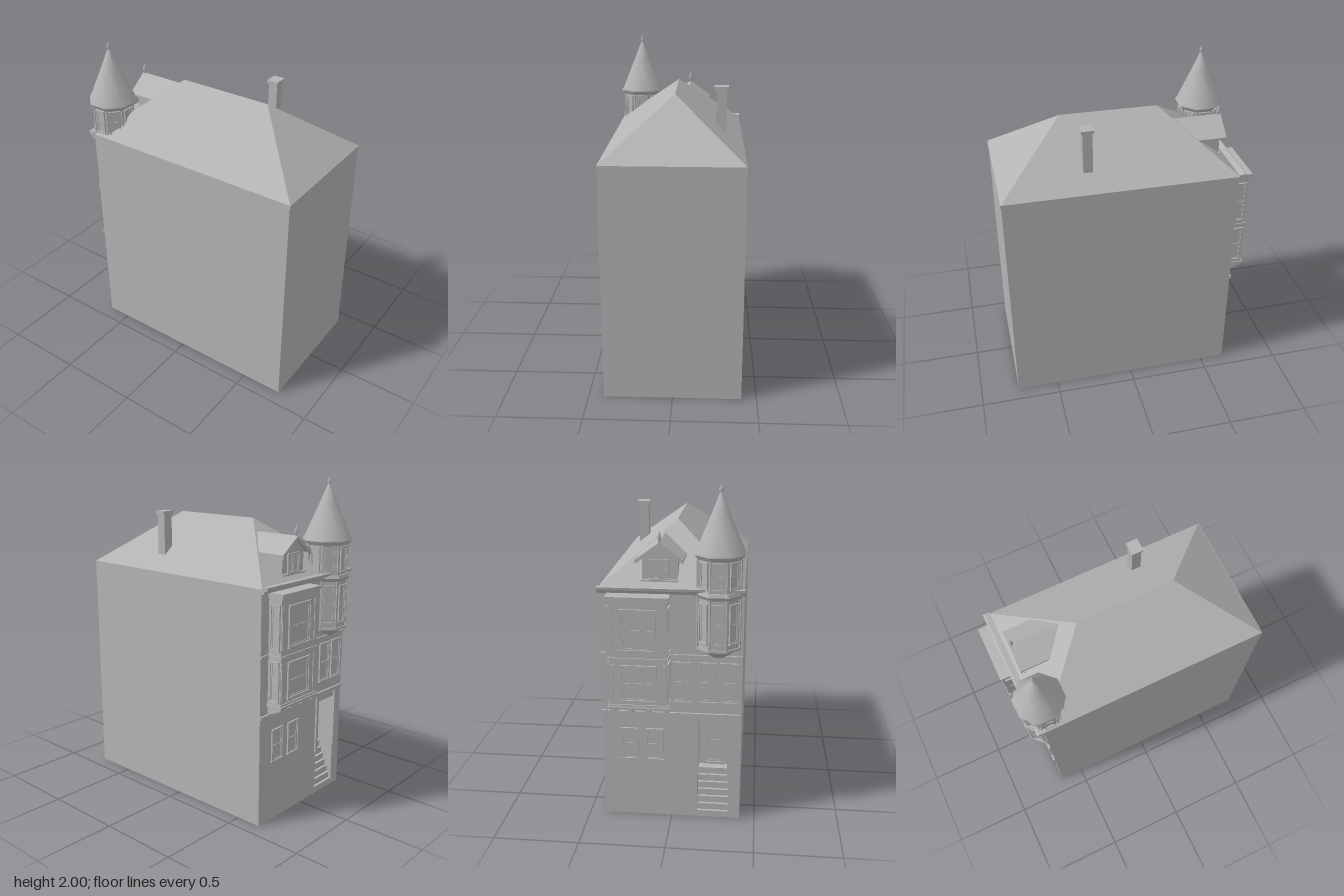
import * as THREE from 'three';

export function createModel() {
  const model = new THREE.Group();
  const grey = new THREE.MeshStandardMaterial({ color: 0xb4b4b4, side: THREE.DoubleSide });
  grey.name = 'plain grey';

  const add = (name, geometry, parent = model) => {
    const mesh = new THREE.Mesh(geometry, grey);
    mesh.name = name;
    parent.add(mesh);
    return mesh;
  };
  // Box given by its minimum and maximum corners
  const block = (name, x0, x1, y0, y1, z0, z1, parent) => {
    const mesh = add(name, new THREE.BoxGeometry(x1 - x0, y1 - y0, z1 - z0), parent);
    mesh.position.set((x0 + x1) / 2, (y0 + y1) / 2, (z0 + z1) / 2);
    return mesh;
  };
  const flat = (geometry) => {
    const g = geometry.toNonIndexed();
    g.computeVertexNormals();
    return g;
  };
  const shape = (points) => new THREE.Shape(points.map(([x, y]) => new THREE.Vector2(x, y)));
  const lathe = (points, sides, phi = 0) =>
    new THREE.LatheGeometry(points.map(([r, y]) => new THREE.Vector2(r, y)), sides, phi);

  // Sash window: outer casing, inner sashes, meeting rail and sill, facing local +z
  const sashWindow = (name, w, h, x, y, z, turn = Math.PI, t = 0.01) => {
    const g = new THREE.Group();
    g.name = name;
    const W = w / 2, H = h / 2, s = t * 0.6;
    for (const side of [-1, 1]) {
      const a = side * W, b = side * (W - t), c = side * (W - t * 1.9);
      block('casing', Math.min(a, b), Math.max(a, b), -H, H, -0.008, 0.01, g);
      block('sashStile', Math.min(b, c), Math.max(b, c), -H + t, H - t, -0.008, 0.005, g);
    }
    block('head', -W, W, H - t, H, -0.008, 0.011, g);
    block('sill', -W - 0.003, W + 0.003, -H, -H + t, -0.008, 0.013, g);
    block('meetingRail', -W + t, W - t, -s / 2, s / 2, -0.008, 0.006, g);
    block('topRail', -W + t, W - t, H - t - s, H - t, -0.008, 0.005, g);
    block('bottomRail', -W + t, W - t, -H + t, -H + t + s, -0.008, 0.005, g);
    block('pane', -W + t, W - t, -H + t, H - t, -0.004, 0.001, g);
    g.position.set(x, y, z);
    g.rotation.y = turn;
    model.add(g);
  };

  const X = 0.41, BACK = -0.655, FRONT = 0.76, EAVE = 1.425;

  // Plain walls, open underneath
  const depth = FRONT - BACK, midZ = (FRONT + BACK) / 2;
  add('frontWall', new THREE.PlaneGeometry(2 * X, EAVE)).position.set(0, EAVE / 2, FRONT);
  for (const side of [-1, 1]) {
    const wall = add('sideWall', new THREE.PlaneGeometry(depth, EAVE));
    wall.position.set(side * X, EAVE / 2, midZ);
    wall.rotation.y = side * Math.PI / 2;
  }

  // Street wall with the entrance cut out (drawn mirrored, then turned round)
  const D0 = -0.34, D1 = -0.155, DOOR_TOP = 0.62, INNER = BACK + 0.15;
  const street = add('streetWall', new THREE.ShapeGeometry(shape([
    [-X, 0], [-D1, 0], [-D1, DOOR_TOP], [-D0, DOOR_TOP], [-D0, 0], [X, 0], [X, EAVE], [-X, EAVE]])));
  street.rotation.y = Math.PI;
  street.position.z = BACK;

  // Entrance recess with steps and door
  block('recessSide', D0 - 0.004, D0, 0, DOOR_TOP, BACK, INNER);
  block('recessSide', D1, D1 + 0.004, 0, DOOR_TOP, BACK, INNER);
  block('recessCeiling', D0, D1, DOOR_TOP, DOOR_TOP + 0.004, BACK, INNER);
  block('recessBack', D0, D1, 0, DOOR_TOP, INNER, INNER + 0.004);
  for (let i = 0; i < 7; i++) {
    block('step', D0, D1, i * 0.04, (i + 1) * 0.04, BACK + 0.002 + i * 0.016, INNER);
  }
  sashWindow('door', 0.12, 0.31, (D0 + D1) / 2, 0.44, INNER, Math.PI, 0.016);
  for (const x of [D0 - 0.004, D1 + 0.004]) {
    block('doorPilaster', x - 0.011, x + 0.011, 0.29, 0.67, BACK - 0.01, BACK);
  }

  // String courses
  block('lowerStringCourse', -X, X, 0.665, 0.685, BACK - 0.012, BACK);
  block('upperStringCourse', -X, X, 1.03, 1.045, BACK - 0.01, BACK);

  // Street wall windows
  for (const x of [0.25, 0.097]) sashWindow('groundWindow', 0.105, 0.205, x, 0.473, BACK);
  for (const x of [-0.06, -0.21, -0.335]) sashWindow('firstFloorWindow', 0.105, 0.25, x, 0.875, BACK);

  // Hipped roof
  const A = [-X, EAVE, -0.66], B = [X, EAVE, -0.66], C = [X, EAVE, 0.762], D = [-X, EAVE, 0.762];
  const R1 = [0, 1.75, -0.25], R2 = [0, 1.75, 0.35];
  const roof = new THREE.BufferGeometry();
  roof.setAttribute('position', new THREE.Float32BufferAttribute(
    [A, R1, B, A, D, R2, A, R2, R1, D, C, R2, C, B, R1, C, R1, R2].flat(), 3));
  roof.computeVertexNormals();
  add('roof', roof);
  block('frontEave', -X, X, 1.4, EAVE, FRONT, 0.764);

  // Moulded cornice along the street eave
  const cornice = add('cornice', new THREE.ExtrudeGeometry(shape([
    [0, 1.395], [0.018, 1.4], [0.025, 1.415], [0.042, 1.422], [0.045, 1.438], [0.035, 1.442], [0, 1.436]]),
    { depth: 2 * X + 0.004, bevelEnabled: false }));
  cornice.rotation.y = Math.PI / 2;
  cornice.scale.x = 1;
  cornice.position.set(-X - 0.002, 0, BACK);
  cornice.rotation.y = Math.PI / 2; // local x runs towards -z, local z towards +x

  // Two-storey rectangular bay
  const b0 = 0.012, b1 = 0.342, bz = -0.745;
  block('bay', b0, b1, 0.75, 1.39, bz, BACK);
  for (const [y0, y1, out] of [[0.735, 0.75, 0.014], [0.75, 0.762, 0.007], [1.03, 1.045, 0.007],
    [1.37, 1.385, 0.008], [1.385, 1.402, 0.017]]) {
    block('bayMoulding', b0 - out * 0.8, b1 + out * 0.8, y0, y1, bz - out, BACK);
  }
  for (const [y, h] of [[1.205, 0.25], [0.89, 0.225]]) {
    sashWindow('bayWindow', 0.21, h, 0.177, y, bz, Math.PI, 0.014);
    sashWindow('baySideWindow', 0.068, h + 0.02, b0, y, -0.703, -Math.PI / 2, 0.009);
    sashWindow('baySideWindow', 0.068, h + 0.02, b1, y, -0.703, Math.PI / 2, 0.009);
    for (const x of [b0 + 0.014, b1 - 0.014]) {
      block('bayPilaster', x - 0.01, x + 0.01, y - h / 2, y + h / 2, bz - 0.005, bz);
    }
  }
  // Wedge brackets below the bay
  for (let i = 0; i < 4; i++) {
    const bracket = add('bayBracket', new THREE.ExtrudeGeometry(
      shape([[0, 0.68], [0.095, 0.722], [0.095, 0.738], [0, 0.738]]), { depth: 0.026, bevelEnabled: false }));
    bracket.rotation.y = Math.PI / 2;
    bracket.position.set(0.012 + i * 0.1013, 0, BACK);
  }

  // Octagonal corner turret
  const tx = -0.27, tz = -0.61, ap = 0.117, k = 1 / Math.cos(Math.PI / 8);
  const turret = new THREE.Group();
  turret.name = 'turret';
  turret.position.set(tx, 0, tz);
  model.add(turret);
  const ring = (name, rBottom, rTop, y0, y1) => {
    add(name, flat(new THREE.CylinderGeometry(rTop * k, rBottom * k, y1 - y0, 8, 1, false, Math.PI / 8)),
      turret).position.y = (y0 + y1) / 2;
  };
  ring('turretBody', ap, ap, 1.09, 1.61);
  ring('turretBase', 0.05, ap, 1.03, 1.09);
  ring('turretMoulding', ap + 0.008, ap + 0.008, 1.085, 1.1);
  ring('turretMoulding', ap + 0.004, ap + 0.016, 1.385, 1.405);
  ring('turretMoulding', ap + 0.016, ap + 0.008, 1.405, 1.425);
  ring('turretEave', ap + 0.004, ap + 0.02, 1.6, 1.626);
  add('turretRoof', lathe([[0, 1.624], [0.139 * k, 1.624], [0.139 * k, 1.624], [0.139 * k, 1.633],
    [0.128 * k, 1.65], [0.06, 1.83], [0.007, 1.955]], 8, Math.PI / 8), turret);
  const finial = [[0, 0], [0.007, 0], [0.005, 0.012], [0.013, 0.025], [0.004, 0.045], [0, 0.055]];
  add('turretFinial', lathe(finial, 8), turret).position.y = 1.945;
  for (let i = 0; i < 8; i++) {
    const a = i * Math.PI / 4, nx = Math.sin(a) * ap, nz = Math.cos(a) * ap;
    sashWindow('turretUpperWindow', 0.07, 0.155, tx + nx, 1.518, tz + nz, a, 0.009);
    if (nz < -0.05) sashWindow('turretLowerWindow', 0.07, 0.235, tx + nx, 1.245, tz + nz, a, 0.009);
    // Slim post on each corner
    const c = a + Math.PI / 8, r = ap * k;
    const post = add('turretPost', new THREE.BoxGeometry(0.012, 0.51, 0.012), turret);
    post.position.set(Math.sin(c) * r, 1.35, Math.cos(c) * r);
    post.rotation.y = c;
  }

  // Gabled dormer, running back into the main roof
  const dx = 0.065;
  const dormer = add('dormerBody', new THREE.ExtrudeGeometry(
    shape([[-0.1, 1.43], [0.1, 1.43], [0.1, 1.59], [0, 1.665], [-0.1, 1.59]]), { depth: 0.2, bevelEnabled: false }));
  dormer.position.set(dx, 0, -0.605);
  const chevron = (name, drop, w, z, d) => {
    const s = shape([[-w, 1.585], [0, 1.682], [w, 1.585], [w, 1.585 - drop], [0, 1.682 - drop], [-w, 1.585 - drop]]);
    add(name, new THREE.ExtrudeGeometry(s, { depth: d, bevelEnabled: false })).position.set(dx, 0, z);
  };
  chevron('dormerRoof', 0.013, 0.135, -0.63, 0.29);
  chevron('dormerBargeboard', 0.024, 0.135, -0.638, 0.01);
  for (const x of [-0.028, 0.028]) sashWindow('dormerWindow', 0.056, 0.115, dx + x, 1.525, -0.605, Math.PI, 0.008);
  block('dormerSill', dx - 0.105, dx + 0.105, 1.455, 1.467, -0.62, -0.6);
  const dormerFinial = add('dormerFinial', lathe(finial, 8));
  dormerFinial.position.set(dx, 1.672, -0.625);
  dormerFinial.scale.y = 1.4;

  // Chimney
  block('chimneyStack', 0.24, 0.302, 1.5, 1.765, 0.21, 0.268);
  block('chimneyCapLower', 0.234, 0.308, 1.757, 1.766, 0.205, 0.273);
  block('chimneyCap', 0.229, 0.313, 1.766, 1.78, 0.203, 0.276);

  return model;
}
